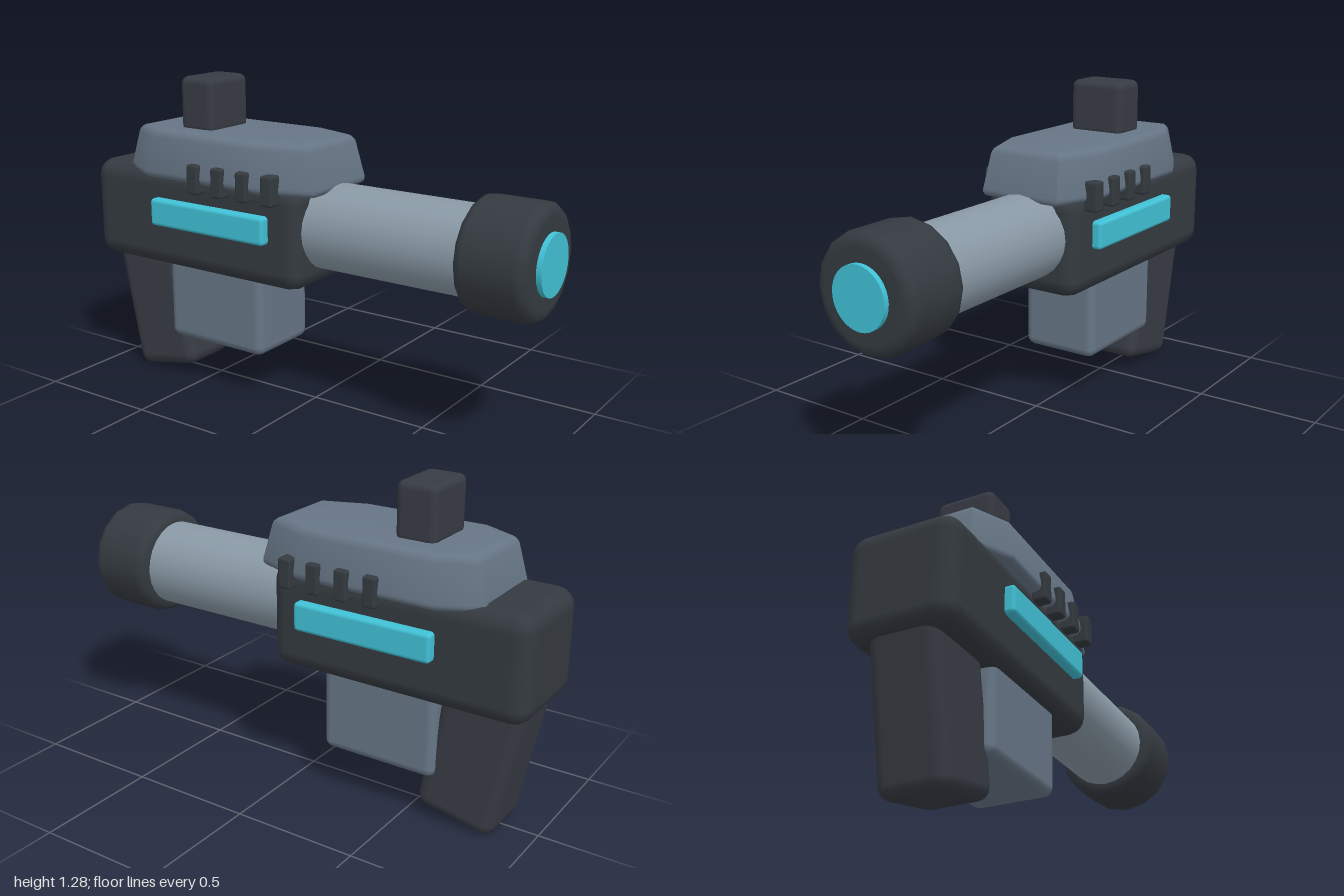
import * as THREE from 'three';
import { RoundedBoxGeometry } from 'three/addons/geometries/RoundedBoxGeometry.js';
import { toCreasedNormals } from 'three/addons/utils/BufferGeometryUtils.js';

const mat = (name, color) => {
  const m = new THREE.MeshStandardMaterial({ color });
  m.name = name;
  return m;
};

export function createModel() {
  const group = new THREE.Group();
  const charcoal = mat('charcoal', 0x343a40);
  const grey = mat('gripGrey', 0x373b43);
  const slate = mat('slate', 0x667585);
  const steel = mat('steel', 0x8999a5);
  const glow = mat('cyanGlow', 0x41c1d6);

  const add = (name, geometry, material) => {
    const mesh = new THREE.Mesh(geometry, material);
    mesh.name = name;
    group.add(mesh);
    return mesh;
  };

  // Rounded block given by its limits on each axis
  const block = (name, [x0, x1], [y0, y1], [z0, z1], radius, material) => {
    const geo = new RoundedBoxGeometry(x1 - x0, y1 - y0, z1 - z0, 2, radius);
    const mesh = add(name, geo, material);
    mesh.position.set((x0 + x1) / 2, (y0 + y1) / 2, (z0 + z1) / 2);
    return mesh;
  };

  block('body', [-0.212, 0.212], [0.505, 0.92], [-1, 0.06], 0.07, charcoal);
  block('magazine', [-0.165, 0.165], [0.19, 0.56], [-0.635, -0.155], 0.035, slate);
  block('rearSight', [-0.12, 0.12], [1.06, 1.285], [-0.585, -0.42], 0.03, grey);

  // Grip leaning backwards at the top
  const grip = add('grip', new RoundedBoxGeometry(0.27, 0.6, 0.32, 2, 0.05), grey);
  grip.position.set(0, 0.317, -0.76);
  grip.rotation.x = -0.2;

  // Top cover: bevelled octagonal slab, narrowing upwards
  const half = [[0.175, 0.122], [0.252, -0.09], [0.252, -0.66], [0.17, -0.82]];
  const outline = [...half, ...half.map(([x, z]) => [-x, z]).reverse()]
    .map(([x, z]) => new THREE.Vector2(x, -z));
  const cover = new THREE.ExtrudeGeometry(new THREE.Shape(outline), {
    depth: 0.135, bevelThickness: 0.03, bevelSize: 0.03, bevelOffset: -0.03, bevelSegments: 4,
  });
  cover.rotateX(-Math.PI / 2).translate(0, 0.915, 0);
  const p = cover.attributes.position;
  for (let i = 0; i < p.count; i++) {
    const t = (p.getY(i) - 0.885) / 0.195;
    p.setX(i, p.getX(i) * (1 - 0.13 * t));
    p.setZ(i, -0.35 + (p.getZ(i) + 0.35) * (1 - 0.1 * t));
  }
  add('topCover', toCreasedNormals(cover, 0.55), slate);

  // Barrel, muzzle and lens share one axis
  const axisY = 0.743;
  const barrel = new THREE.CylinderGeometry(0.172, 0.172, 0.76, 24).rotateX(Math.PI / 2);
  add('barrel', barrel, steel).position.set(0, axisY, 0.36);

  const R = 0.218, L = 0.275, b = 0.042;
  const profile = [new THREE.Vector2(0, 0), new THREE.Vector2(R - b - 0.01, 0)];
  for (const [y, start] of [[b, -Math.PI / 2], [L - b, 0]]) {
    for (let i = 0; i <= 4; i++) {
      const a = start + (i / 4) * (Math.PI / 2);
      profile.push(new THREE.Vector2(R - b + b * Math.cos(a), y + b * Math.sin(a)));
    }
  }
  profile.push(new THREE.Vector2(R - b - 0.01, L), new THREE.Vector2(0, L));
  const muzzle = new THREE.LatheGeometry(profile, 16).rotateX(Math.PI / 2);
  add('muzzle', muzzle, charcoal).position.set(0, axisY, 0.705);

  const lens = new THREE.CylinderGeometry(0.115, 0.115, 0.04, 32).rotateX(Math.PI / 2);
  add('lens', lens, glow).position.set(0, axisY, 0.98);

  // Side strips and fins, mirrored
  for (const s of [1, -1]) {
    const side = s > 0 ? 'left' : 'right';
    const span = (a, c) => (s > 0 ? [a, c] : [-c, -a]);
    block(side + 'GlowStrip', span(0.19, 0.25), [0.688, 0.8], [-0.648, -0.075], 0.015, glow);
    for (let i = 0; i < 4; i++) {
      const z = -0.045 - 0.121 * i;
      block(side + 'Fin' + (i + 1), span(0.205, 0.265), [0.85, 0.968], [z - 0.027, z + 0.027], 0.01, charcoal);
    }
  }
  return group;
}
